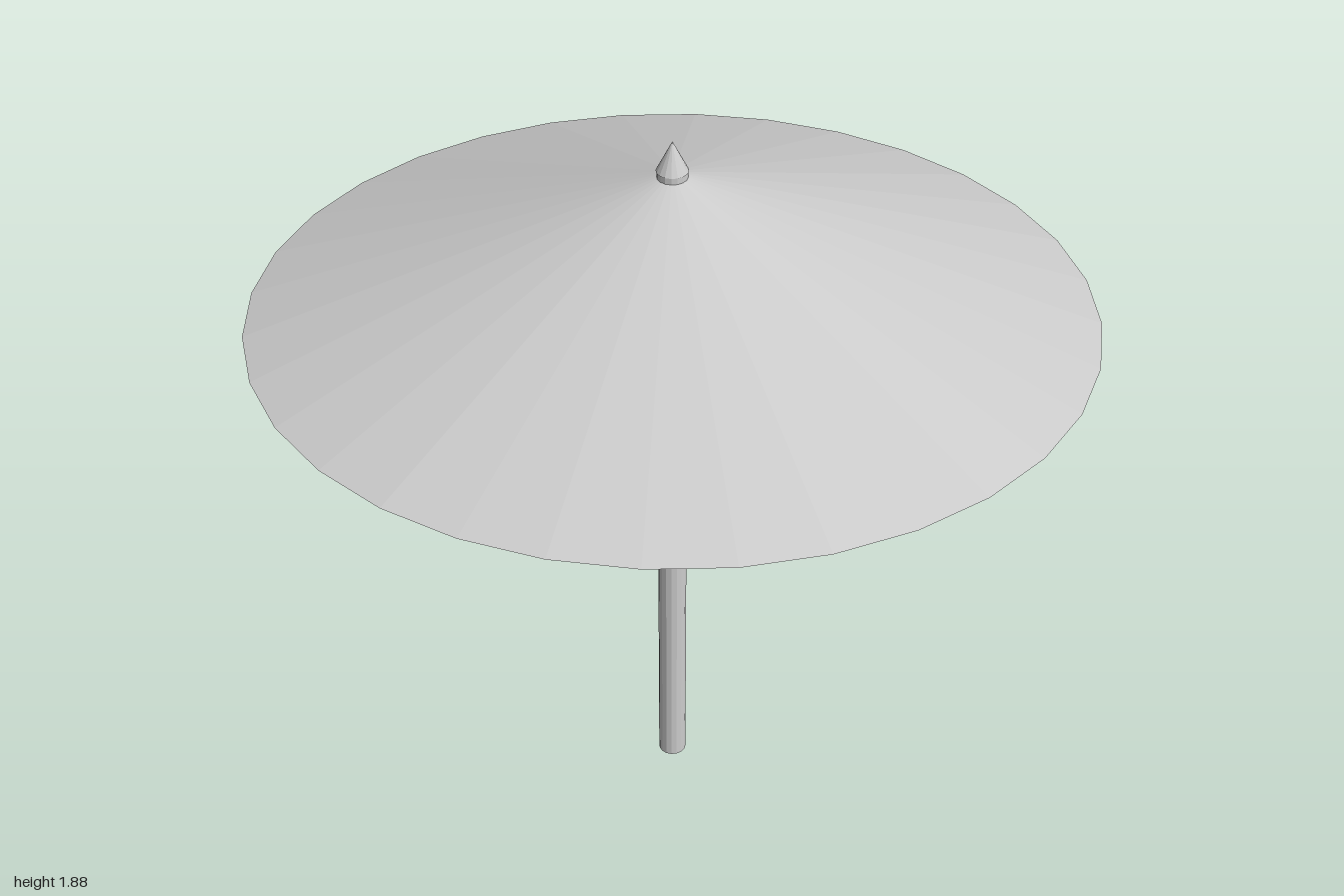
import * as THREE from 'three';

export function createModel() {
  const group = new THREE.Group();
  const depth = 0.95; // canopy is slightly shallower than wide
  const poleRadius = 0.036, poleTop = 1.803, tip = 1.877;
  const rim = 1.435, apex = 1.8;

  const solid = new THREE.MeshStandardMaterial({ color: 0xcccccc, flatShading: true });
  const cloth = new THREE.MeshStandardMaterial({
    color: 0xcccccc, flatShading: true, side: THREE.DoubleSide,
  });

  // Adds a part standing on the given base height
  function add(name, geometry, material, base, height) {
    const mesh = new THREE.Mesh(geometry, material);
    mesh.name = name;
    mesh.position.y = base + height / 2;
    group.add(mesh);
    return mesh;
  }

  // Pole, running through the canopy
  add('pole', new THREE.CylinderGeometry(poleRadius, poleRadius, poleTop, 16), solid, 0, poleTop);

  // Thin open canopy
  const canopy = add('canopy', new THREE.ConeGeometry(1, apex - rim, 32, 1, true), cloth, rim, apex - rim);
  canopy.scale.z = depth;

  // Pointed finial on the pole top
  add('finial', new THREE.ConeGeometry(poleRadius + 0.002, tip - poleTop, 16), solid, poleTop, tip - poleTop);

  return group;
}
